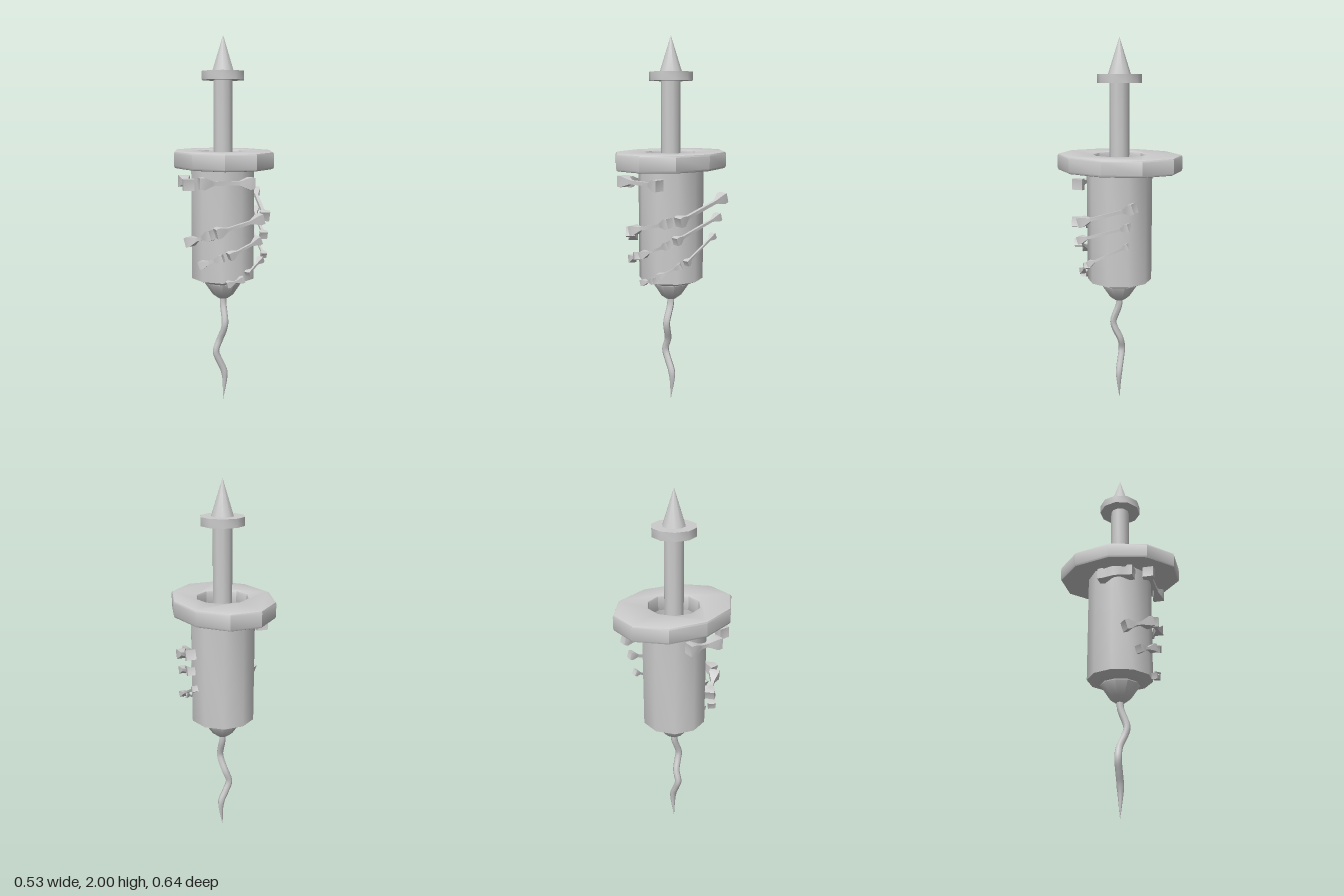
import * as THREE from 'three';
import { toCreasedNormals } from 'three/addons/utils/BufferGeometryUtils.js';

const SIDES = 10;

export function createModel() {
  const model = new THREE.Group();
  const material = new THREE.MeshStandardMaterial({ color: 0xcccccc });

  function add(name, geometry, parent = model) {
    const mesh = new THREE.Mesh(geometry, material);
    mesh.name = name;
    parent.add(mesh);
    return mesh;
  }

  // Ten-sided turned part, with corners on the x axis
  function turned(name, points, crease = 0.7) {
    const profile = points.map(([r, y]) => new THREE.Vector2(r, y));
    const geometry = new THREE.LatheGeometry(profile, SIDES, Math.PI / 2, Math.PI * 2);
    return add(name, toCreasedNormals(geometry, crease));
  }

  // Hollow barrel with chamfered foot
  turned('barrel', [
    [0, 0.69], [0.11, 0.69], [0.175, 0.715], [0.175, 1.32],
    [0.138, 1.32], [0.138, 0.76], [0, 0.76],
  ]);

  // Needle hub
  turned('needleHub', [
    [0, 0.59], [0.028, 0.595], [0.058, 0.617], [0.104, 0.685], [0.104, 0.695],
  ]);

  // Oval finger flange with a round opening
  const decagon = (rx, rz) => Array.from({ length: SIDES }, (_, i) => {
    const a = (i / SIDES) * Math.PI * 2;
    return new THREE.Vector2(rx * Math.cos(a), rz * Math.sin(a));
  });
  const flangeShape = new THREE.Shape(decagon(0.267, 0.339));
  flangeShape.holes.push(new THREE.Path(decagon(0.136, 0.136)));
  const bevel = 0.012;
  const flange = new THREE.ExtrudeGeometry(flangeShape, {
    depth: 0.09 - 2 * bevel, bevelEnabled: true, bevelSize: bevel,
    bevelThickness: bevel, bevelOffset: -bevel, bevelSegments: 2,
  });
  flange.rotateX(-Math.PI / 2).translate(0, 1.312 + bevel, 0);
  add('fingerFlange', toCreasedNormals(flange, 0.55));

  // Plunger: rod, thumb disc and spike
  turned('plungerRod', [[0, 0.76], [0.052, 0.76], [0.052, 1.78]]);
  turned('thumbDisc', [[0, 1.77], [0.116, 1.77], [0.116, 1.815], [0, 1.815]]);
  turned('topSpike', [[0.06, 1.812], [0, 2]]);

  // Crooked needle, tapering to a point
  const path = new THREE.CatmullRomCurve3([
    [0, 0.61, 0], [0, 0.56, 0.003], [0.001, 0.46, 0.036], [-0.003, 0.42, 0.027],
    [-0.02, 0.355, 0.002], [-0.041, 0.29, 0], [-0.02, 0.23, 0],
    [0.008, 0.16, 0], [0, 0, 0],
  ].map((p) => new THREE.Vector3(...p)), false, 'centripetal');
  const rings = 40, radial = 8;
  const needle = new THREE.TubeGeometry(path, rings, 0.019, radial);
  const pos = needle.attributes.position;
  const v = new THREE.Vector3();
  for (let i = 0; i <= rings; i++) {
    const centre = path.getPointAt(i / rings);
    const width = Math.min(1, centre.y / 0.16);
    for (let j = 0; j <= radial; j++) {
      const k = i * (radial + 1) + j;
      v.fromBufferAttribute(pos, k).sub(centre).multiplyScalar(width).add(centre);
      pos.setXYZ(k, v.x, v.y, v.z);
    }
  }
  needle.computeVertexNormals();
  add('needle', needle);

  // Bone with square flared knuckles, hollowed slightly at each end
  const bones = new THREE.Group();
  bones.name = 'bones';
  model.add(bones);
  function bone(from, to, size) {
    const a = new THREE.Vector3(...from), b = new THREE.Vector3(...to);
    const half = a.distanceTo(b) / 2 + size * 0.4;
    const r = size * 0.62, neck = size * 0.22;
    const end = [
      [0, half - size * 0.1], [r, half], [r * 1.05, half - size * 0.4],
      [neck * 1.3, half - size * 1.05], [neck, half - size * 1.25],
    ];
    // Keep the two necks from crossing on short bones
    const upper = end.map(([x, y]) => [x, Math.max(y, size * 0.05)]);
    const lower = upper.map(([x, y]) => [x, -y]);
    const profile = [...lower, ...upper.reverse()].map(([x, y]) => new THREE.Vector2(x, y));
    const geometry = new THREE.LatheGeometry(profile, 4, Math.PI / 4, Math.PI * 2);
    const mesh = add('bone', toCreasedNormals(geometry, 0.5), bones);
    mesh.position.copy(a).lerp(b, 0.5);
    // Keep one flat face turned away from the barrel
    const up = b.clone().sub(a).normalize();
    const out = new THREE.Vector3(mesh.position.x, 0, mesh.position.z);
    out.addScaledVector(up, -out.dot(up)).normalize();
    const side = new THREE.Vector3().crossVectors(up, out);
    mesh.quaternion.setFromRotationMatrix(new THREE.Matrix4().makeBasis(side, up, out));
  }

  // Four rows of bones winding up around the barrel
  const rows = [
    [0.066, [
      [[-0.215, 1.235, 0.1], [-0.205, 1.24, -0.04]],
      [[-0.155, 1.247, 0.195], [0.08, 1.243, 0.2]],
    ]],
    [0.058, [
      [[-0.2, 0.935, 0.09], [-0.125, 0.975, 0.18]],
      [[-0.075, 0.995, 0.2], [0.14, 1.05, 0.185]],
      [[0.19, 1.065, 0.13], [0.23, 1.155, -0.145]],
    ]],
    [0.046, [
      [[-0.15, 0.82, 0.145], [-0.07, 0.852, 0.19]],
      [[-0.01, 0.872, 0.2], [0.135, 0.935, 0.18]],
      [[0.18, 0.965, 0.145], [0.22, 1.055, -0.12]],
    ]],
    [0.036, [
      [[-0.02, 0.717, 0.19], [0.045, 0.735, 0.19]],
      [[0.09, 0.768, 0.18], [0.17, 0.82, 0.125]],
      [[0.2, 0.845, 0.09], [0.2, 0.95, -0.11]],
    ]],
  ];
  for (const [size, row] of rows) {
    for (const [from, to] of row) bone(from, to, size);
  }

  return model;
}
